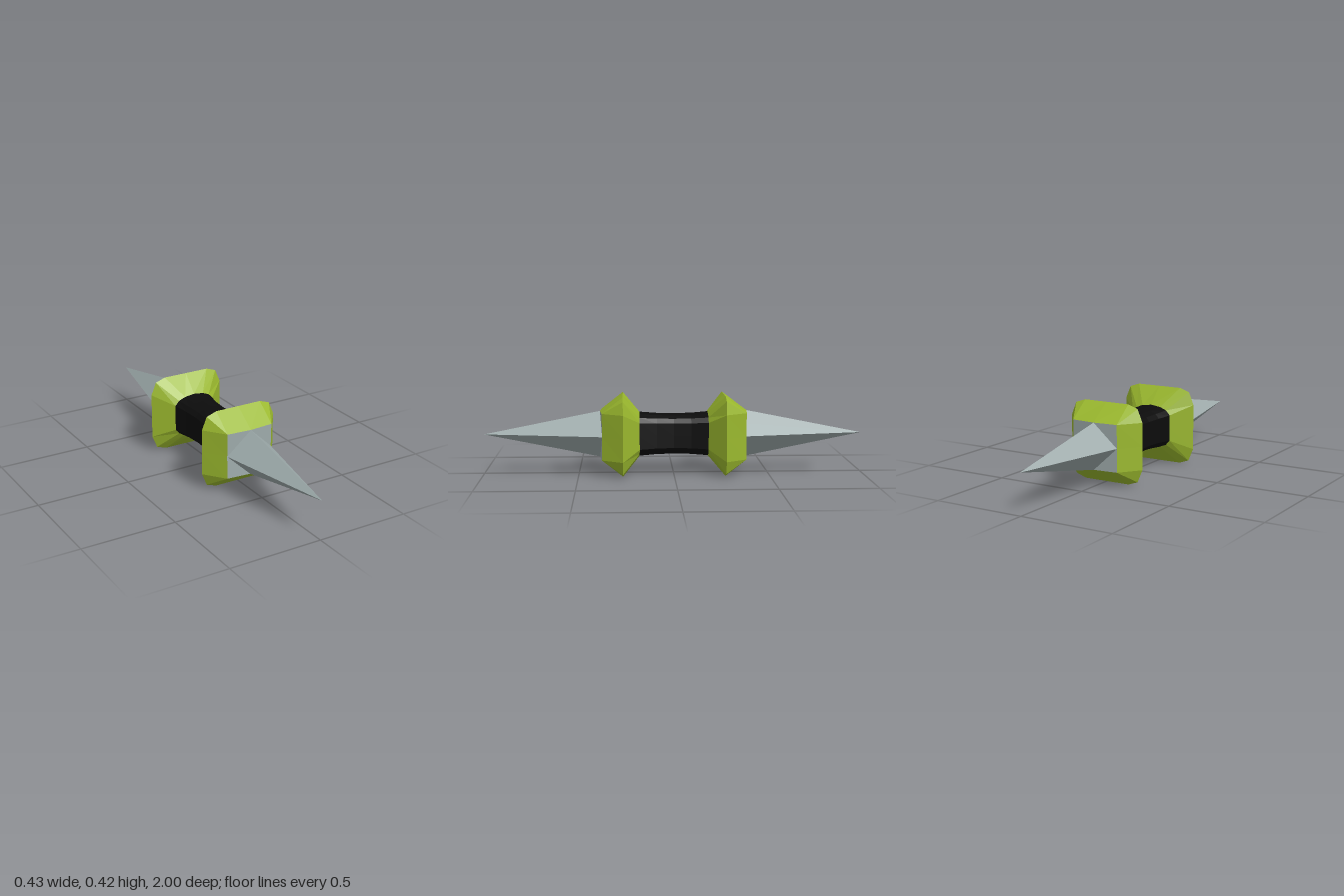
import * as THREE from 'three';

const CENTER_Y = 0.21;

const green = new THREE.MeshStandardMaterial({ color: 0x9ab82e, flatShading: true });
green.name = 'green';
const steel = new THREE.MeshStandardMaterial({ color: 0x9eabab, flatShading: true });
steel.name = 'steel';
const black = new THREE.MeshStandardMaterial({ color: 0x0c0c0c, flatShading: true });
black.name = 'black';

// Mirrors five [x, y, z] points of one quadrant into a closed ring of sixteen
function ring(quadrant) {
  const half = [
    ...quadrant,
    ...quadrant.slice(0, -1).reverse().map(([x, y, z]) => [-x, y, z]),
  ];
  return [...half, ...half.slice(1, -1).reverse().map(([x, y, z]) => [x, -y, z])];
}

const flatRing = (quadrant, z) => ring(quadrant.map(([x, y]) => [x, y, z]));

// Skins rings listed in order of increasing z, leaving out collapsed triangles
function loft(name, rings, material) {
  const positions = [];
  const addTriangle = (...corners) => {
    const [a, b, c] = corners.map((p) => new THREE.Vector3(...p));
    if (b.clone().sub(a).cross(c.clone().sub(a)).length() < 1e-7) return;
    corners.forEach((p) => positions.push(...p));
  };
  for (let k = 0; k < rings.length - 1; k++) {
    const low = rings[k], high = rings[k + 1];
    for (let i = 0; i < low.length; i++) {
      const j = (i + 1) % low.length;
      addTriangle(low[i], low[j], high[j]);
      addTriangle(low[i], high[j], high[i]);
    }
  }
  const geometry = new THREE.BufferGeometry();
  geometry.setAttribute('position', new THREE.Float32BufferAttribute(positions, 3));
  geometry.computeVertexNormals();
  const mesh = new THREE.Mesh(geometry, material);
  mesh.name = name;
  return mesh;
}

// Quadrant outlines: side middle, side end, corner, top end, top middle
const gripEnd = [[0.115, 0], [0.115, 0.07], [0.092, 0.095], [0.055, 0.11], [0, 0.117]];
const guardRim = [[0.213, 0], [0.213, 0.122], [0.185, 0.189], [0.13, 0.208], [0, 0.208]];
const guardFace = [
  [0.13, 0, 0.375], [0.13, 0.122, 0.377], [0.13, 0.122, 0.377], [0.13, 0.122, 0.377], [0, 0.122, 0.388],
];
const spikeBase = [
  [0.13, 0, 0.375], [0.065, 0.061, 0.3815], [0.065, 0.061, 0.3815], [0.065, 0.061, 0.3815], [0, 0.122, 0.388],
];
const spikeTip = Array(5).fill([0, 0, 1]);

function createEnd(name) {
  const end = new THREE.Group();
  end.name = name;
  // Faceted collar around the end of the grip
  end.add(loft('guard', [flatRing(gripEnd, 0.18), flatRing(guardRim, 0.267), ring(guardFace)], green));
  // Collar face and four-sided spike
  end.add(loft('spike', [ring(guardFace), ring(spikeBase), ring(spikeTip)], steel));
  return end;
}

export function createModel() {
  const model = new THREE.Group();
  model.name = 'doubleSpike';

  const body = new THREE.Group();
  body.name = 'body';
  body.position.y = CENTER_Y;
  model.add(body);

  // Grip narrows gently towards the middle
  const gripRings = [-0.18, -0.09, 0, 0.09, 0.18].map((z) => {
    const t = (z / 0.18) ** 2;
    const sx = 0.82 + 0.18 * t;
    const sy = 0.92 + 0.08 * t;
    return flatRing(gripEnd.map(([x, y]) => [x * sx, y * sy]), z);
  });
  body.add(loft('grip', gripRings, black));

  const front = createEnd('frontEnd');
  const back = createEnd('backEnd');
  back.rotation.y = Math.PI;
  body.add(front, back);

  return model;
}
